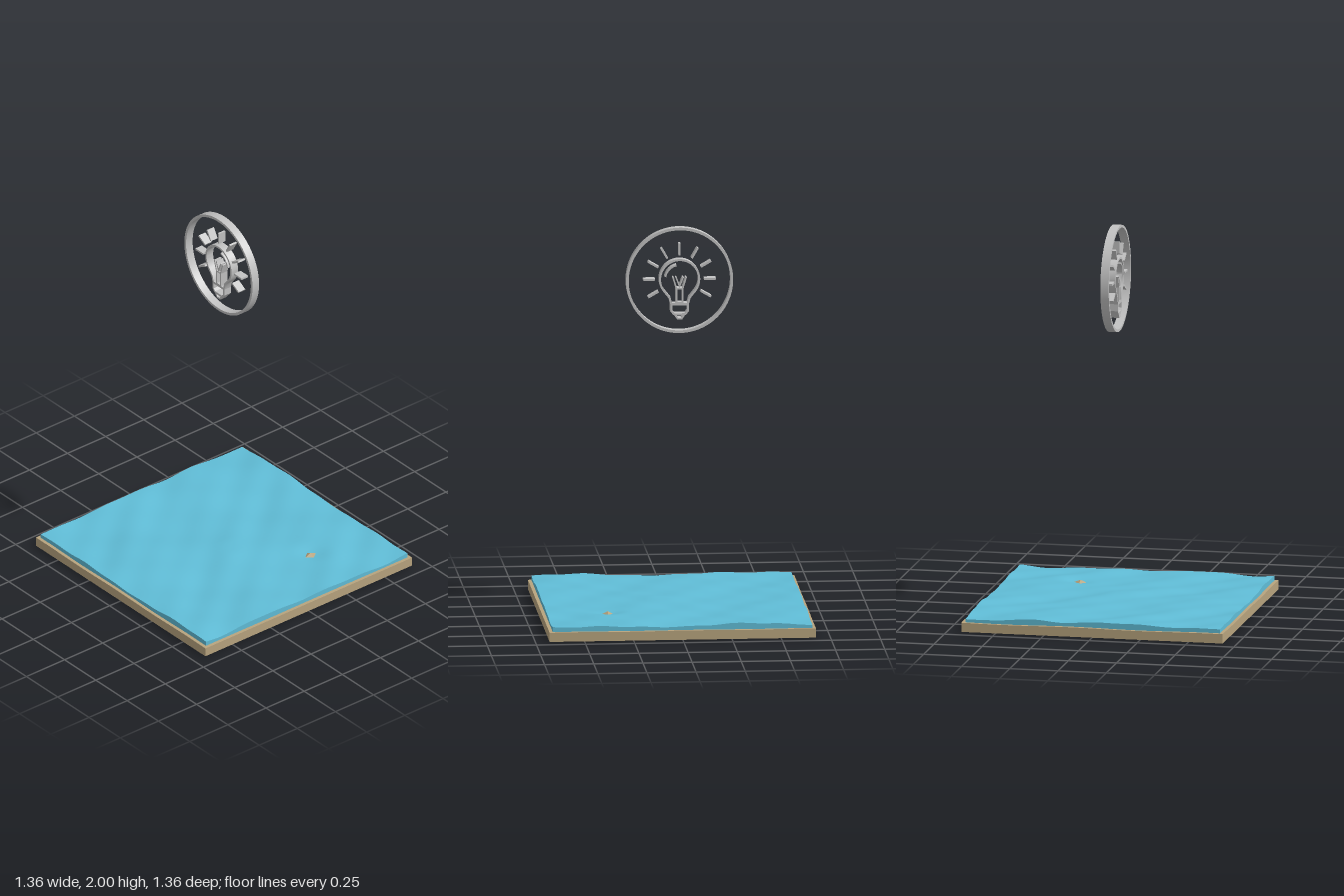
import * as THREE from 'three';
import { toCreasedNormals } from 'three/addons/utils/BufferGeometryUtils.js';

const mat = (name, color) => {
  const m = new THREE.MeshStandardMaterial({ color });
  m.name = name;
  return m;
};
const V = (x, y) => new THREE.Vector2(x, y);
const PX = 0.0053;      // drawing unit of the badge
const DEPTH = 0.043;    // thickness of the badge

// Points along an arc, angles in degrees
function arc(cx, cy, r, from, to, n) {
  return Array.from({ length: n + 1 }, (_, i) => {
    const a = THREE.MathUtils.degToRad(from + (to - from) * i / n);
    return V(cx + r * Math.cos(a), cy + r * Math.sin(a));
  });
}

// Mitred offset of a polyline
function offset(pts, d, closed) {
  const n = pts.length;
  return pts.map((p, i) => {
    const prev = closed ? pts[(i + n - 1) % n] : pts[Math.max(i - 1, 0)];
    const next = closed ? pts[(i + 1) % n] : pts[Math.min(i + 1, n - 1)];
    const a = p.clone().sub(prev).normalize();
    const b = next.clone().sub(p).normalize();
    if (a.lengthSq() === 0) a.copy(b);
    if (b.lengthSq() === 0) b.copy(a);
    const m = V(-a.y - b.y, a.x + b.x).normalize();
    const k = d / Math.max(0.35, m.x * -a.y + m.y * a.x);
    return p.clone().addScaledVector(m, k);
  });
}

// Extruded line of constant width
function stroke(pts, width, closed = false) {
  const left = offset(pts, width / 2, closed);
  const right = offset(pts, -width / 2, closed);
  let shape;
  if (closed) {
    shape = new THREE.Shape(right);
    shape.holes.push(new THREE.Path(left));
  } else {
    shape = new THREE.Shape([...left, ...right.reverse()]);
  }
  const geo = new THREE.ExtrudeGeometry(shape, { depth: DEPTH / PX, bevelEnabled: false });
  geo.scale(PX, PX, 1 * PX);
  return toCreasedNormals(geo, 0.5);
}

// Box whose top is shaped by a height rule
function slab(size, bottom, height, seg) {
  const geo = new THREE.BoxGeometry(size, 1, size, seg, 1, seg);
  const p = geo.attributes.position;
  for (let i = 0; i < p.count; i++) {
    p.setY(i, p.getY(i) > 0 ? height(p.getX(i), p.getZ(i)) : bottom);
  }
  geo.computeVertexNormals();
  return geo;
}

const ISLE = { x: 0.35, z: -0.28 };

// Gentle waves, dipping around the sand peak
function waterHeight(x, z) {
  const w = Math.sin(9 * x + 4 * z + 1) + Math.sin(13 * z - 6 * x + 2)
    + 0.8 * Math.sin(19 * x + 0.6) * Math.cos(17 * z) + 0.5 * Math.sin(27 * x - 23 * z);
  const h = Math.min(0.08, 0.07 + 0.0042 * w);
  const d2 = (x - ISLE.x) ** 2 + (z - ISLE.z) ** 2;
  return THREE.MathUtils.lerp(h, 0.058, Math.exp(-d2 / 0.005));
}

const sandHeight = (x, z) => 0.047 + 0.0025 * Math.sin(11 * x + 2) * Math.cos(9 * z + 1);

export function createModel() {
  const sand = mat('sand', 0xb8a47e);
  const water = mat('water', 0x60bdd7);
  const metal = mat('grey metal', 0xc2c2c2);
  const model = new THREE.Group();
  const add = (parent, name, geo, material) => {
    const mesh = new THREE.Mesh(geo, material);
    mesh.name = name;
    parent.add(mesh);
    return mesh;
  };

  // Sand bed, water sheet and the peak that breaks the surface
  add(model, 'sandBed', slab(1.355, 0, sandHeight, 32), sand);
  add(model, 'water', slab(1.32, 0.03, waterHeight, 48), water);
  const peak = add(model, 'sandPeak', new THREE.ConeGeometry(0.065, 0.03, 4).toNonIndexed(), sand);
  peak.geometry.computeVertexNormals();
  peak.position.set(ISLE.x, 0.059, ISLE.z);
  peak.scale.set(0.9, 1, 1.15);

  // Floating badge
  const badge = new THREE.Group();
  badge.name = 'bulbBadge';
  badge.position.set(-0.036, 1.728, -0.036);
  model.add(badge);
  const line = (name, pts, width, closed) => add(badge, name, stroke(pts, width, closed), metal);

  line('outerRing', arc(0, 0, 50.1, 0, 360, 96).slice(0, -1), 2.6, true);

  // Light rays
  for (let a = -30; a <= 210; a += 30) {
    const t = THREE.MathUtils.degToRad(a);
    const at = r => V(r * Math.cos(t), 1 + r * Math.sin(t));
    line('ray', [at(23.5), at(34.8)], 1.9);
  }

  // Glass outline with its highlight
  line('glass', [...arc(0, 1, 18.8, -42, 222, 44),
    V(-9.6, -17), V(-8, -23), V(8, -23), V(9.6, -17)], 2, true);
  line('highlight', arc(0, 1, 13.8, 10, 78, 14), 1.6);

  // Filament and its stem
  line('filamentOuter', [V(-6.3, 3), V(-3, -8), V(3, -8), V(6.3, 3)], 1.4);
  line('filamentInner', [V(-3.4, 3), V(0, -6), V(3.4, 3)], 1.4);
  line('stem', [V(-3, -8), V(-3, -22), V(3, -22), V(3, -8)], 1.4, true);

  // Screw base and contact tip
  line('screwBase', [V(-8, -23.5), V(-8, -30), V(-5.5, -33), V(5.5, -33), V(8, -30), V(8, -23.5)], 1.8, true);
  line('contactTip', [V(-4.6, -33.5), V(-2, -37.3), V(2, -37.3), V(4.6, -33.5)], 1.6, true);

  return model;
}
